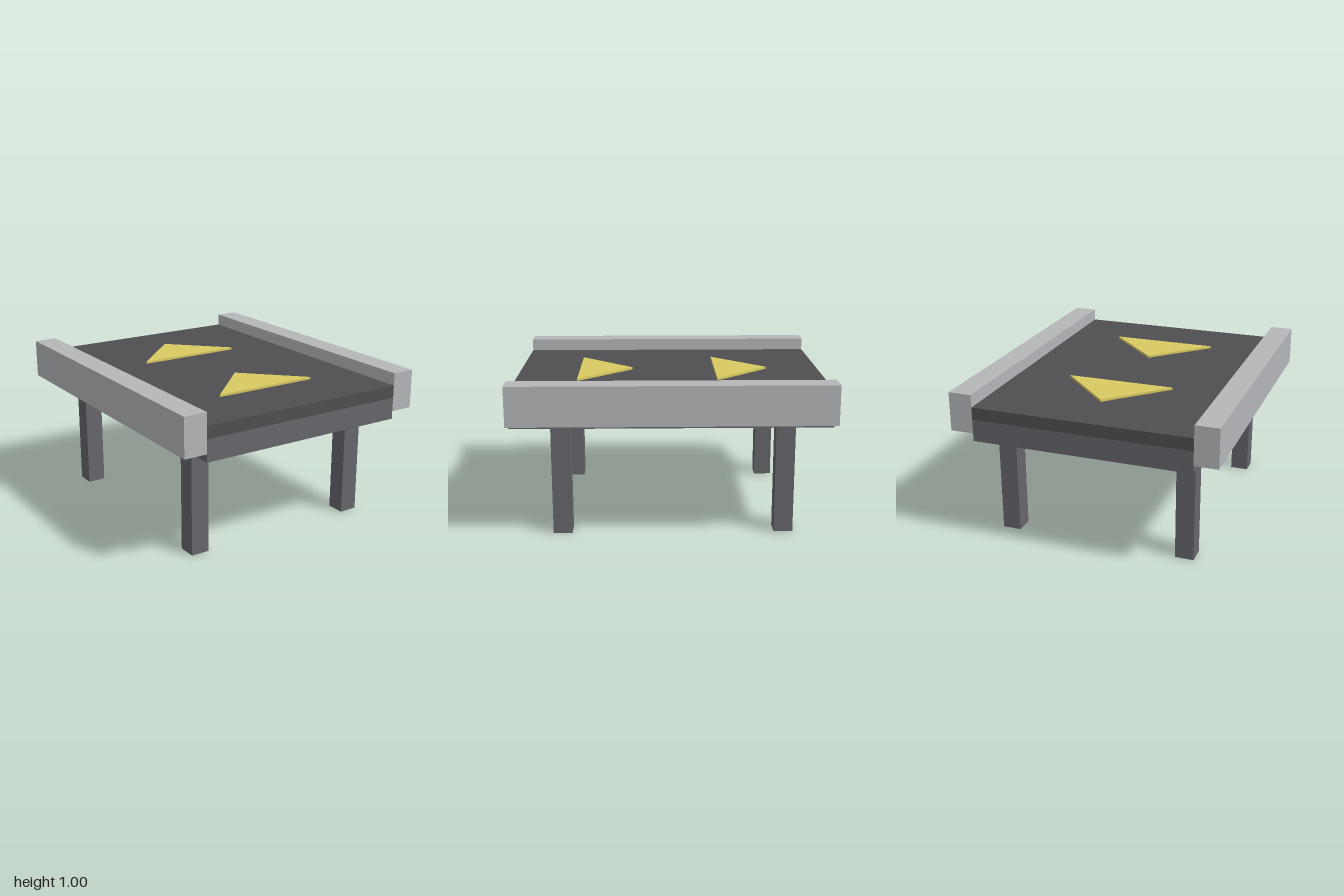
import * as THREE from 'three';

const paint = (color) => new THREE.MeshStandardMaterial({ color, flatShading: true });

export function createModel() {
  const model = new THREE.Group();
  model.name = 'conveyor';

  const frameMat = paint(0x66666c);
  const beltMat = paint(0x4f4f52);
  const railMat = paint(0xb4b6b9);
  const arrowMat = paint(0xd9c962);

  // Box given by its size and centre
  const box = (name, material, size, centre) => {
    const mesh = new THREE.Mesh(new THREE.BoxGeometry(...size), material);
    mesh.name = name;
    mesh.position.set(...centre);
    model.add(mesh);
  };

  // Bed and belt
  box('frame', frameMat, [1.4, 0.14, 2], [0, 0.77, 0]);
  box('belt', beltMat, [1.4, 0.08, 2], [0, 0.88, 0]);

  // Side rails and legs
  for (const [side, s] of [['left', 1], ['right', -1]]) {
    box(`${side}Rail`, railMat, [0.15, 0.25, 2], [s * 0.775, 0.875, 0]);
    box(`${side}FrontLeg`, frameMat, [0.12, 0.7, 0.12], [s * 0.59, 0.35, 0.69]);
    box(`${side}BackLeg`, frameMat, [0.12, 0.7, 0.12], [s * 0.59, 0.35, -0.71]);
  }

  // Direction arrows lying on the belt, pointing to the back
  const triangle = new THREE.Shape([
    new THREE.Vector2(-0.35, 0),
    new THREE.Vector2(0.35, 0),
    new THREE.Vector2(0, 0.35),
  ]);
  const arrowGeo = new THREE.ExtrudeGeometry(triangle, { depth: 0.015, bevelEnabled: false });
  arrowGeo.rotateX(-Math.PI / 2);
  for (const [name, z] of [['frontArrow', 0.6], ['backArrow', -0.3]]) {
    const arrow = new THREE.Mesh(arrowGeo, arrowMat);
    arrow.name = name;
    arrow.position.set(0, 0.92, z);
    model.add(arrow);
  }

  return model;
}
